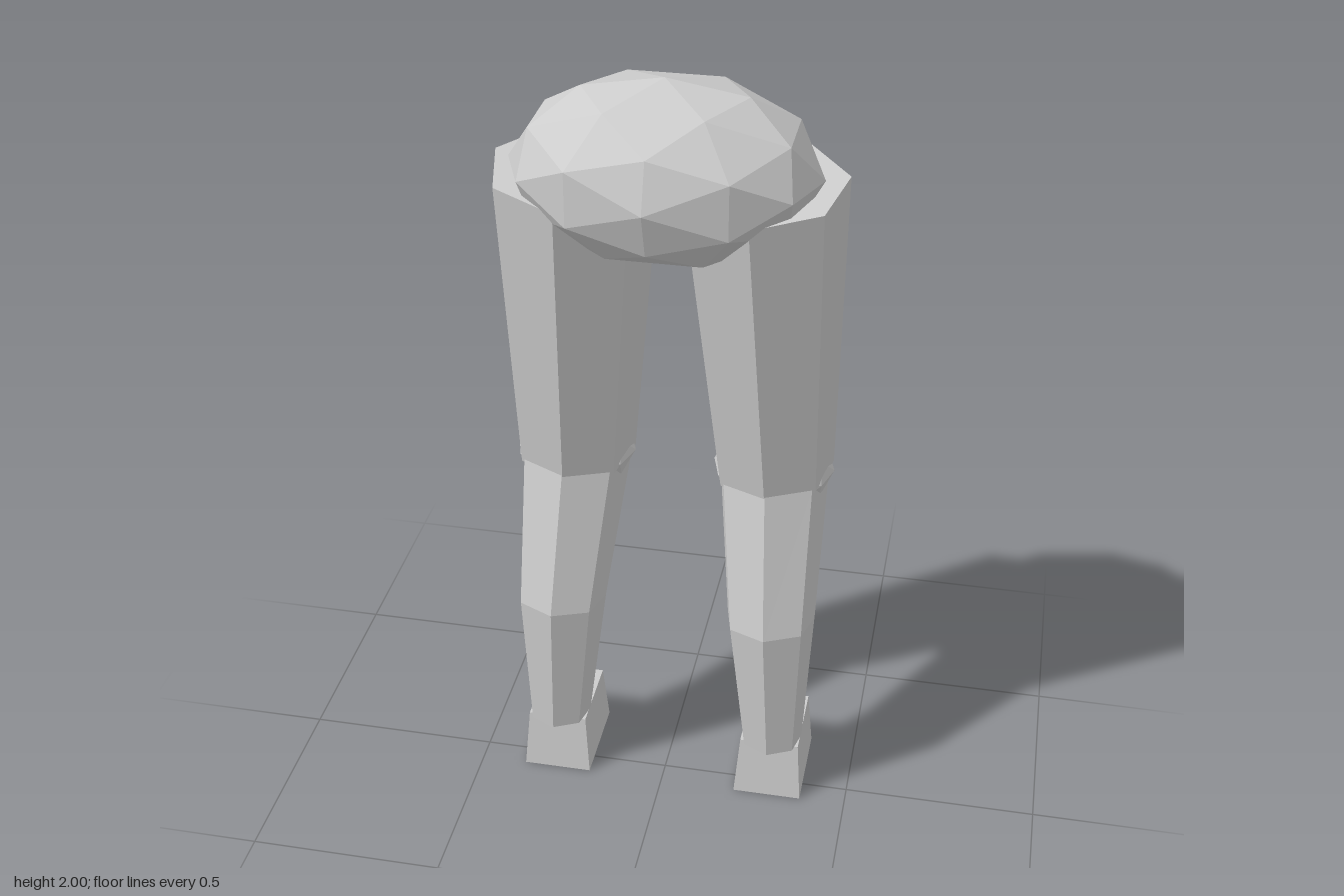
import * as THREE from 'three';

const grey = new THREE.MeshStandardMaterial({ color: 0xcccccc, flatShading: true });
grey.name = 'plain grey';

function part(name, geometry, parent) {
  const mesh = new THREE.Mesh(geometry, grey);
  mesh.name = name;
  parent.add(mesh);
  return mesh;
}

// Seven-sided limb through rings listed top to bottom.
// Each ring: centre x, y, z, radius, and its slope along x and z.
function limb(rings, side) {
  const steps = rings.length - 1;
  const geo = new THREE.CylinderGeometry(1, 1, steps, 7, steps);
  const pos = geo.attributes.position;
  for (let i = 0; i < pos.count; i++) {
    const [cx, cy, cz, r, slopeX, slopeZ] = rings[Math.round(steps / 2 - pos.getY(i))];
    const dx = pos.getX(i) * r;
    const dz = pos.getZ(i) * r;
    pos.setXYZ(i, side * cx + dx, cy + side * slopeX * dx + slopeZ * dz, cz + dz);
  }
  geo.computeVertexNormals();
  return geo;
}

// Faceted ellipsoid
function blob(rx, ry, rz) {
  const geo = new THREE.IcosahedronGeometry(1, 1);
  geo.scale(rx, ry, rz);
  return geo;
}

// Block that narrows toward the top
function foot() {
  const geo = new THREE.BoxGeometry(0.18, 0.165, 0.25);
  const pos = geo.attributes.position;
  for (let i = 0; i < pos.count; i++) {
    if (pos.getY(i) > 0) {
      pos.setX(i, pos.getX(i) * 0.86);
      pos.setZ(i, pos.getZ(i) * 0.86);
    }
  }
  geo.computeVertexNormals();
  return geo;
}

const thighRings = [
  [0.22, 1.755, -0.02, 0.2, 0.044, -0.119],
  [0.255, 0.945, -0.115, 0.152, 0.044, -0.119],
];
const shinRings = [
  [0.255, 0.93, -0.105, 0.142, 0.04, 0.2],
  [0.275, 0.557, 0.009, 0.116, 0.03, 0.09],
  [0.29, 0.165, 0.008, 0.082, 0, 0],
];

export function createModel() {
  const model = new THREE.Group();
  model.name = 'legs';

  part('pelvis', blob(0.365, 0.215, 0.265), model).position.set(0, 1.785, 0.005);

  for (const side of [1, -1]) {
    const leg = new THREE.Group();
    leg.name = side > 0 ? 'leftLeg' : 'rightLeg';
    part('thigh', limb(thighRings, side), leg);
    part('knee', blob(0.153, 0.1, 0.148), leg).position.set(side * 0.255, 0.94, -0.127);
    part('shin', limb(shinRings, side), leg);
    part('foot', foot(), leg).position.set(side * 0.29, 0.0825, -0.065);
    model.add(leg);
  }
  return model;
}
